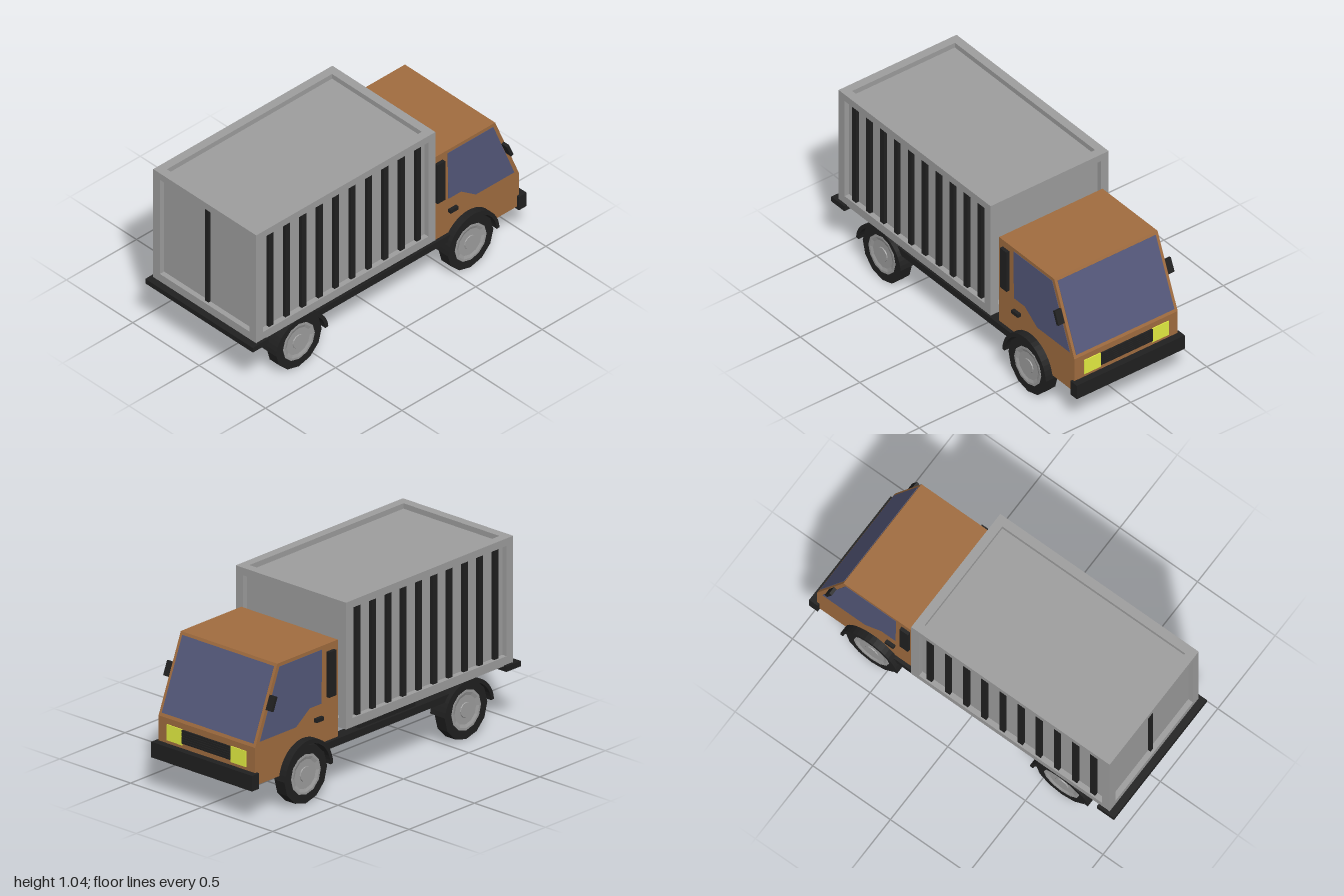
import * as THREE from 'three';

const mat = (color) => new THREE.MeshStandardMaterial({ color, flatShading: true });

export function createModel() {
  const truck = new THREE.Group();
  truck.name = 'boxTruck';
  const grey = mat(0x9d9d9d), dark = mat(0x202020), paint = mat(0xa06c3f);
  const glass = mat(0x54587a), lamp = mat(0xe4ee42);

  const add = (name, geometry, material, parent = truck) => {
    const mesh = new THREE.Mesh(geometry, material);
    mesh.name = name;
    parent.add(mesh);
    return mesh;
  };
  // Box given by its limits on each axis
  const box = (name, material, x0, x1, y0, y1, z0, z1, parent = truck) => {
    const mesh = add(name, new THREE.BoxGeometry(x1 - x0, y1 - y0, z1 - z0), material, parent);
    mesh.position.set((x0 + x1) / 2, (y0 + y1) / 2, (z0 + z1) / 2);
  };
  // The same box on both sides of the truck
  const pair = (name, material, x0, x1, y0, y1, z0, z1, parent = truck) => {
    box(name, material, x0, x1, y0, y1, z0, z1, parent);
    box(name, material, x0, x1, y0, y1, -z1, -z0, parent);
  };
  // Side profile extruded from z0 to z1
  const slab = (name, shape, material, z0, z1, parent = truck) => {
    const geometry = new THREE.ExtrudeGeometry(shape, { depth: z1 - z0, bevelEnabled: false, curveSegments: 10 });
    geometry.translate(0, 0, z0);
    add(name, geometry, material, parent);
  };
  const polygon = (points) => new THREE.Shape(points.map(([x, y]) => new THREE.Vector2(x, y)));

  // Cargo box: recessed core inside a frame of beams
  const cargo = new THREE.Group();
  cargo.name = 'cargoBox';
  truck.add(cargo);
  const X0 = -0.96, X1 = 0.318, Y0 = 0.338, Y1 = 1.045, Z = 0.388, B = 0.05, T = 0.042, R = 0.03;
  box('cargoPanels', grey, X0 + R, X1 - R, Y0 + 0.002, Y1 - R, -Z + R, Z - R, cargo);
  for (const [y0, y1] of [[Y0, Y0 + B], [Y1 - T, Y1]]) {
    pair('longBeam', grey, X0, X1, y0, y1, Z - B, Z, cargo);
    for (const x of [X0, X1 - B]) box('crossBeam', grey, x, x + B, y0, y1, -Z + B, Z - B, cargo);
  }
  for (const x of [X0, X1 - B]) pair('cornerPost', grey, x, x + B, Y0 + B, Y1 - T, Z - B, Z, cargo);
  for (let i = 0; i < 10; i++) {
    const x = -0.843 + i * 0.117;
    pair('sideRib', dark, x - 0.016, x + 0.016, Y0 + B, Y1 - T, Z - R - 0.005, Z - 0.01, cargo);
  }
  box('doorSeam', dark, X0 + 0.015, X0 + R + 0.005, Y0 + B, Y1 - T, -0.012, 0.012, cargo);

  // Chassis rails, side steps and bumpers
  pair('chassisRail', dark, -0.53, 0.45, 0.25, 0.29, 0.29, 0.36);
  for (const [x0, x1] of [[-0.245, -0.105], [-0.1, 0.04], [0.045, 0.185]]) {
    pair('sideStep', dark, x0, x1, 0.298, 0.335, 0.29, 0.36);
  }
  box('rearBumper', dark, -1, -0.95, 0.31, 0.34, -0.405, 0.405);
  pair('rearBumperEnd', dark, -0.95, -0.89, 0.31, 0.342, 0.34, 0.405);
  box('frontBumper', dark, 0.945, 1, 0.183, 0.27, -0.355, 0.355);

  // Cab body with the wheel arch cut out
  const cab = new THREE.Group();
  cab.name = 'cab';
  truck.add(cab);
  const wheelY = 0.163, frontX = 0.595, rearX = -0.63, archR = 0.18;
  const a0 = Math.asin((0.2 - wheelY) / archR), a1 = Math.PI - Math.asin((0.29 - wheelY) / archR);
  const body = new THREE.Shape();
  body.moveTo(0.328, 0.29);
  body.lineTo(0.328, 0.83);
  body.lineTo(0.79, 0.83);
  body.lineTo(0.96, 0.41);
  body.lineTo(0.96, 0.2);
  body.lineTo(frontX + archR * Math.cos(a0), 0.2);
  body.absarc(frontX, wheelY, archR, a0, a1, false);
  slab('cabBody', body, paint, -0.34, 0.34, cab);

  // Windows
  const pane = polygon([[0.45, 0.81], [0.775, 0.81], [0.925, 0.435], [0.65, 0.435], [0.545, 0.51], [0.455, 0.51]]);
  slab('leftWindow', pane, glass, 0.335, 0.342, cab);
  slab('rightWindow', pane, glass, -0.342, -0.335, cab);
  const slope = Math.atan2(0.17, 0.42);
  const windshield = add('windshield', new THREE.BoxGeometry(0.008, 0.418, 0.645), glass, cab);
  windshield.position.set(0.873, 0.62, 0);
  windshield.rotation.z = slope;

  // Cab details
  pair('airIntake', dark, 0.36, 0.415, 0.535, 0.788, 0.335, 0.36, cab);
  pair('doorHandle', dark, 0.455, 0.51, 0.422, 0.443, 0.335, 0.36, cab);
  for (const s of [1, -1]) {
    const mirror = add('mirror', new THREE.BoxGeometry(0.018, 0.082, 0.045), dark, cab);
    mirror.position.set(0.857, 0.634, s * 0.359);
    mirror.rotation.z = slope;
  }
  pair('headlight', lamp, 0.95, 0.965, 0.288, 0.377, 0.17, 0.278, cab);
  for (let i = 0; i < 6; i++) {
    const y = 0.301 + i * 0.0128;
    box('grilleBar', dark, 0.95, 0.97, y, y + 0.0105, -0.17, 0.17, cab);
  }

  // Wheels: tyre and stepped rim turned about the axle
  const lathe = (points) => {
    const geometry = new THREE.LatheGeometry(points.map(([r, h]) => new THREE.Vector2(r, h)), 12);
    return geometry.rotateX(Math.PI / 2);
  };
  const tyre = lathe([[0, -0.035], [0.163, -0.035], [0.163, 0.035], [0.112, 0.035], [0.108, 0.02], [0, 0.02]]);
  const rim = lathe([[0.113, 0.03], [0.113, 0.037], [0.1, 0.037], [0.082, 0.031], [0.042, 0.031], [0.04, 0.036], [0, 0.036]]);

  // Mudguard arches: outer and inner radii across and up; the rear ones sit closer to the tyre
  const arches = [
    { x: frontX, outer: [0.184, 0.197], inner: [0.165, 0.173] },
    { x: rearX, outer: [0.188, 0.175], inner: [0.167, 0.152] },
  ];
  for (const { x, outer, inner } of arches) {
    const axle = add('axle', new THREE.CylinderGeometry(0.022, 0.022, 0.6, 12).rotateX(Math.PI / 2), dark);
    axle.position.set(x, 0.158, 0);
    const guard = new THREE.Shape();
    guard.absellipse(x, wheelY, ...outer, 0.08, Math.PI - 0.08, false);
    guard.absellipse(x, wheelY, ...inner, Math.PI - 0.08, 0.08, true);
    for (const s of [1, -1]) {
      const wheel = new THREE.Group();
      wheel.name = 'wheel';
      wheel.position.set(x, wheelY, s * 0.325);
      if (s < 0) wheel.rotation.y = Math.PI;
      truck.add(wheel);
      add('tyre', tyre, dark, wheel);
      add('rim', rim, grey, wheel);
      slab('mudguard', guard, dark, s > 0 ? 0.28 : -0.385, s > 0 ? 0.385 : -0.28);
    }
  }
  return truck;
}
